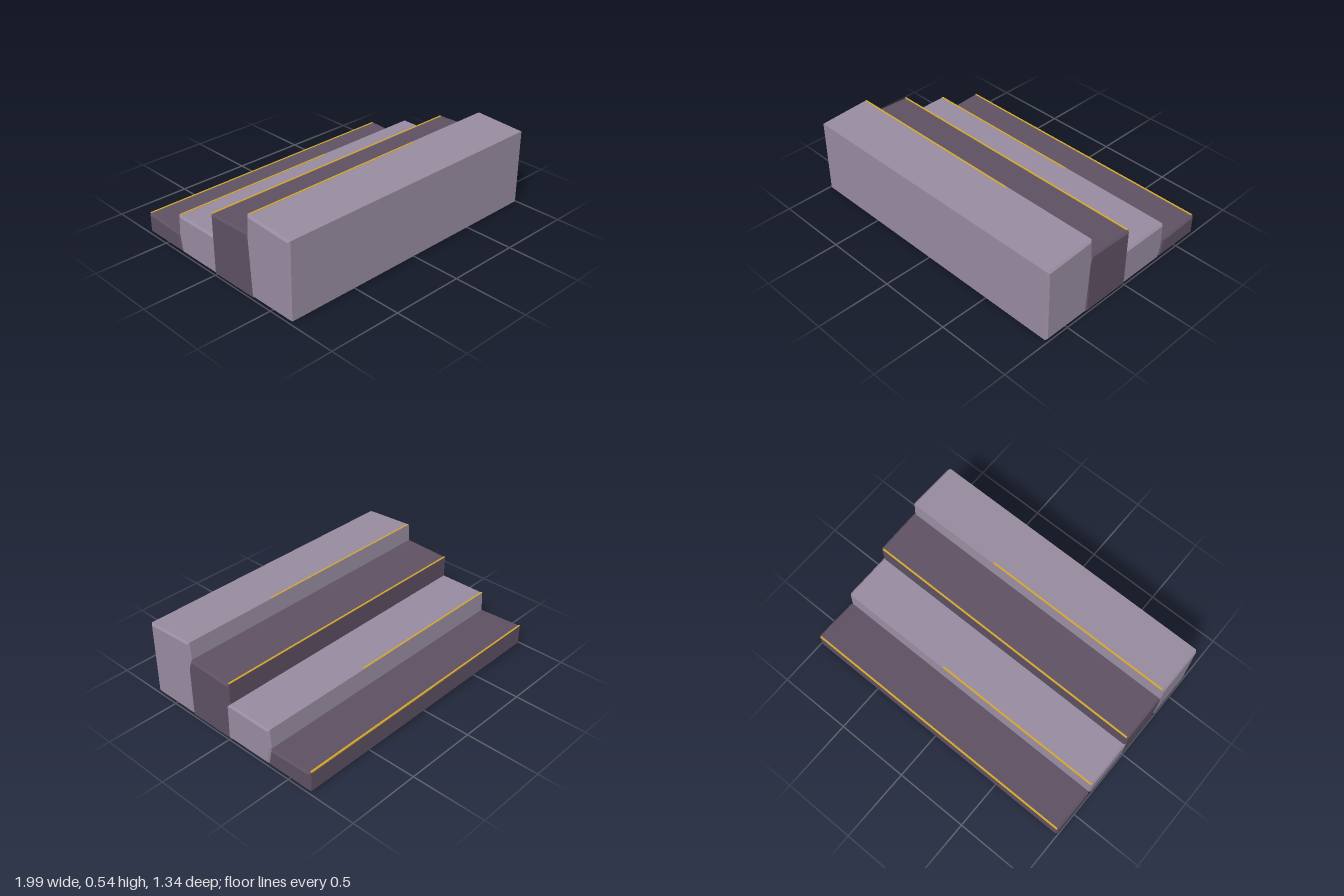
import * as THREE from 'three';

const stoneLight = new THREE.MeshStandardMaterial({ color: 0x978b9f });
stoneLight.name = 'light stone';
const stoneDark = new THREE.MeshStandardMaterial({ color: 0x5d5062 });
stoneDark.name = 'dark stone';
const gold = new THREE.MeshStandardMaterial({ color: 0xd4a52a });
gold.name = 'gold trim';

// One step: a side profile of [z, y] points run across x, with chamfered ends
function makeStep(name, profile, material) {
  const shape = new THREE.Shape(profile.map(([z, y]) => new THREE.Vector2(-z, y)));
  const bevel = 0.012;
  const geometry = new THREE.ExtrudeGeometry(shape, {
    depth: 1.99 - 2 * bevel, bevelEnabled: true, bevelSegments: 1,
    bevelThickness: bevel, bevelSize: 0.012, bevelOffset: -0.012,
  });
  geometry.translate(0, 0, -0.995 + bevel);
  geometry.rotateY(Math.PI / 2);
  const mesh = new THREE.Mesh(geometry, material);
  mesh.name = name;
  return mesh;
}

// Thin gold nosing along the back upper edge of a step
function makeNosing(name, z, y, x0, x1) {
  const mesh = new THREE.Mesh(new THREE.BoxGeometry(x1 - x0, 0.008, 0.012), gold);
  mesh.position.set((x0 + x1) / 2, y - 0.003, z + 0.005);
  mesh.name = name;
  return mesh;
}

export function createModel() {
  const stairs = new THREE.Group();
  stairs.name = 'stairs';

  // Slightly skewed blocks, tallest at the front
  stairs.add(
    makeStep('topStep', [[0.668, 0.008], [0.668, 0.52], [0.315, 0.54], [0.307, 0.4], [0.333, 0.008]], stoneLight),
    makeStep('upperStep', [[0.335, 0], [0.335, 0.36], [0.31, 0.42], [-0.017, 0.408], [-0.012, 0]], stoneDark),
    makeStep('lowerStep', [[0.012, 0.006], [0.012, 0.263], [-0.347, 0.263], [-0.354, 0.13], [-0.331, 0.006]], stoneLight),
    makeStep('bottomStep', [[-0.331, 0.008], [-0.355, 0.13], [-0.669, 0.143], [-0.669, 0.008]], stoneDark),
  );

  // Gold edging, worn away in places
  stairs.add(
    makeNosing('topNosing', 0.318, 0.54, -0.98, 0.33),
    makeNosing('upperNosing', -0.015, 0.41, -0.985, 0.98),
    makeNosing('lowerNosing', -0.345, 0.264, -0.985, 0.2),
    makeNosing('bottomNosing', -0.668, 0.144, -0.985, 0.98),
  );
  return stairs;
}
